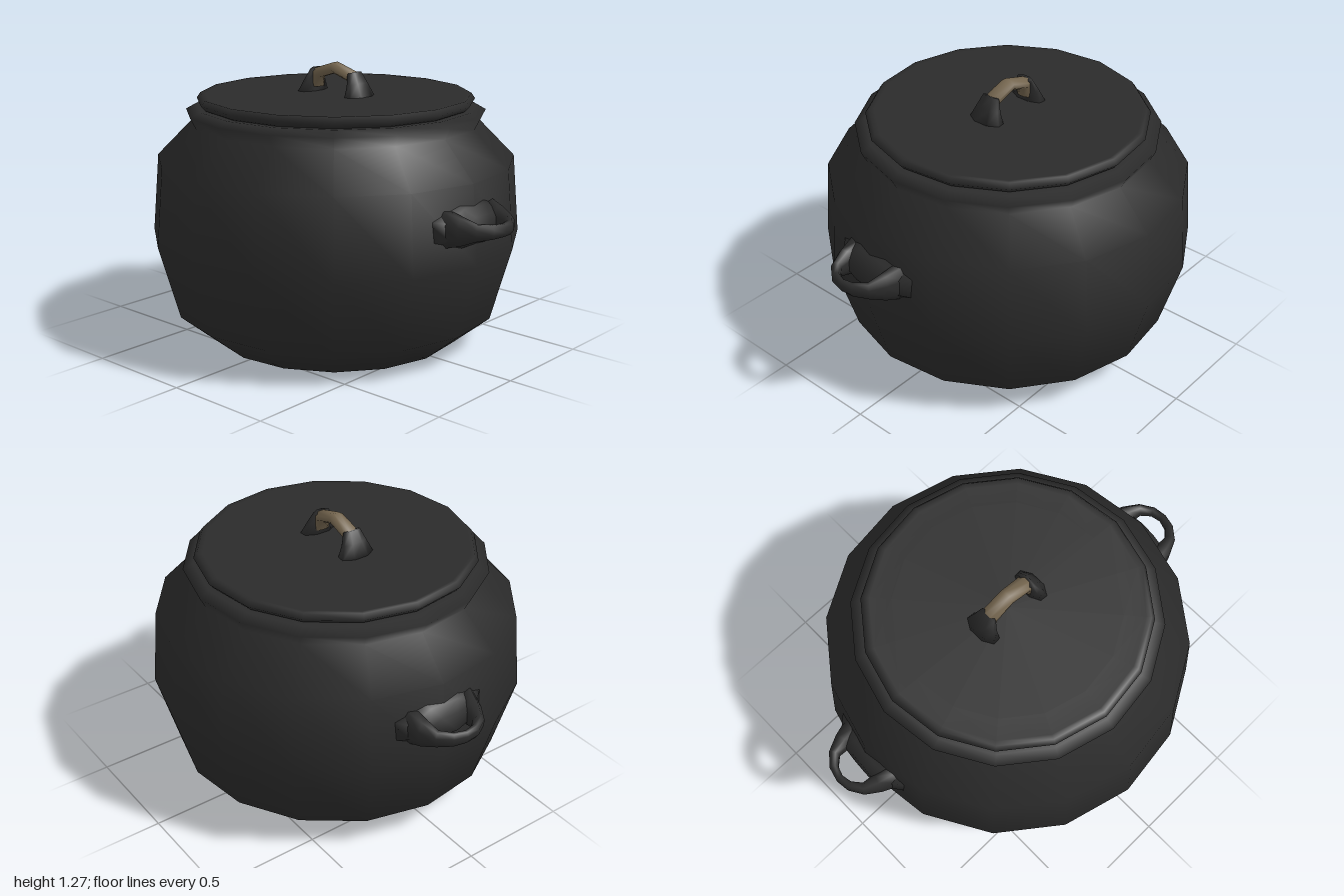
import * as THREE from 'three';

const SIDES = 16;

// Lathe from a bottom-to-top list of [radius, height]
function turned(profile, material, name) {
  const points = profile.map(([r, y]) => new THREE.Vector2(r, y));
  const mesh = new THREE.Mesh(new THREE.LatheGeometry(points, SIDES), material);
  mesh.name = name;
  return mesh;
}

// Octagonal bar swept along sections [x, y, z, half in-plane, half across]
function bar(sections, across, material, name) {
  const n = 8, pos = [], idx = [];
  const path = sections.map(([x, y, z]) => new THREE.Vector3(x, y, z));
  const last = path.length - 1;
  sections.forEach(([, , , inPlane, side], i) => {
    const t = path[Math.min(i + 1, last)].clone().sub(path[Math.max(i - 1, 0)]).normalize();
    const normal = across.clone().cross(t);
    for (let j = 0; j < n; j++) {
      const a = ((j + 0.5) / n) * Math.PI * 2, k = 1 / Math.cos(Math.PI / n);
      const p = path[i].clone()
        .addScaledVector(normal, inPlane * k * Math.cos(a))
        .addScaledVector(across, side * k * Math.sin(a));
      pos.push(p.x, p.y, p.z);
      if (i < last) {
        const b = i * n + j, c = i * n + ((j + 1) % n);
        idx.push(b, c, c + n, b, c + n, b + n);
      }
    }
  });
  // End caps
  for (let j = 1; j < n - 1; j++) {
    idx.push(0, j + 1, j, last * n, last * n + j, last * n + j + 1);
  }
  const g = new THREE.BufferGeometry();
  g.setAttribute('position', new THREE.Float32BufferAttribute(pos, 3));
  g.setIndex(idx);
  g.computeVertexNormals();
  const mesh = new THREE.Mesh(g, material);
  mesh.name = name;
  return mesh;
}

// Full arch from one half, given from its foot to its crown
function mirrored(half, axis) {
  const other = half.slice(0, -1).reverse().map((s) => s.map((v, i) => (i === axis ? -v : v)));
  return [...half, ...other];
}

export function createModel() {
  const iron = new THREE.MeshStandardMaterial({ color: 0x2b2b2b });
  iron.name = 'cast iron';
  const tan = new THREE.MeshStandardMaterial({ color: 0x75664f });
  tan.name = 'tan grip';
  const X = new THREE.Vector3(1, 0, 0), Y = new THREE.Vector3(0, 1, 0);

  const model = new THREE.Group();
  model.name = 'cookingPot';
  const pot = new THREE.Group();
  pot.name = 'pot';
  pot.rotation.y = THREE.MathUtils.degToRad(-3.7);
  model.add(pot);

  // Bellied body with a flared rim
  pot.add(turned([
    [0, 0], [0.575, 0], [0.755, 0.147], [0.85, 0.487], [0.82, 0.842],
    [0.66, 1.005], [0.685, 1.055], [0.64, 1.08], [0.56, 1.075],
  ], iron, 'body'));

  // Lid with a bevelled edge
  pot.add(turned([
    [0, 1.07], [0.59, 1.072], [0.615, 1.084], [0.635, 1.106],
    [0.618, 1.13], [0.595, 1.126], [0.5, 1.128], [0, 1.13],
  ], iron, 'lid'));

  // Loop handles at front and back, each on a flared pad
  const loop = mirrored([
    [0.14, 0.668, 0.79, 0.05, 0.08], [0.126, 0.669, 0.865, 0.038, 0.06],
    [0.105, 0.673, 0.93, 0.024, 0.036], [0.055, 0.675, 0.97, 0.019, 0.03],
    [0, 0.675, 0.982, 0.017, 0.027],
  ], 0);
  for (const [name, turn] of [['frontHandle', 0], ['backHandle', Math.PI]]) {
    const handle = new THREE.Group();
    handle.name = name;
    handle.rotation.y = turn;
    handle.add(bar(loop, Y, iron, 'handleLoop'));
    handle.add(bar([
      [0, 0.665, 0.77, 0.12, 0.24], [0, 0.668, 0.835, 0.08, 0.17],
      [0, 0.67, 0.875, 0.045, 0.1],
    ], X, iron, 'handlePad'));
    pot.add(handle);
  }

  // Lid handle: two flared posts carrying a bent grip
  const lidHandle = new THREE.Group();
  lidHandle.name = 'lidHandle';
  for (const s of [1, -1]) {
    lidHandle.add(bar([
      [0, 1.12, s * 0.142, 0.045, 0.085], [0, 1.18, s * 0.13, 0.026, 0.06],
      [0, 1.232, s * 0.112, 0.016, 0.04],
    ], X, iron, 'lidHandlePost'));
  }
  lidHandle.add(bar(mirrored([
    [0, 1.15, 0.108, 0.016, 0.033], [0, 1.212, 0.106, 0.026, 0.037],
    [0, 1.245, 0, 0.025, 0.035],
  ], 2), X, tan, 'lidGrip'));
  model.add(lidHandle);

  return model;
}
